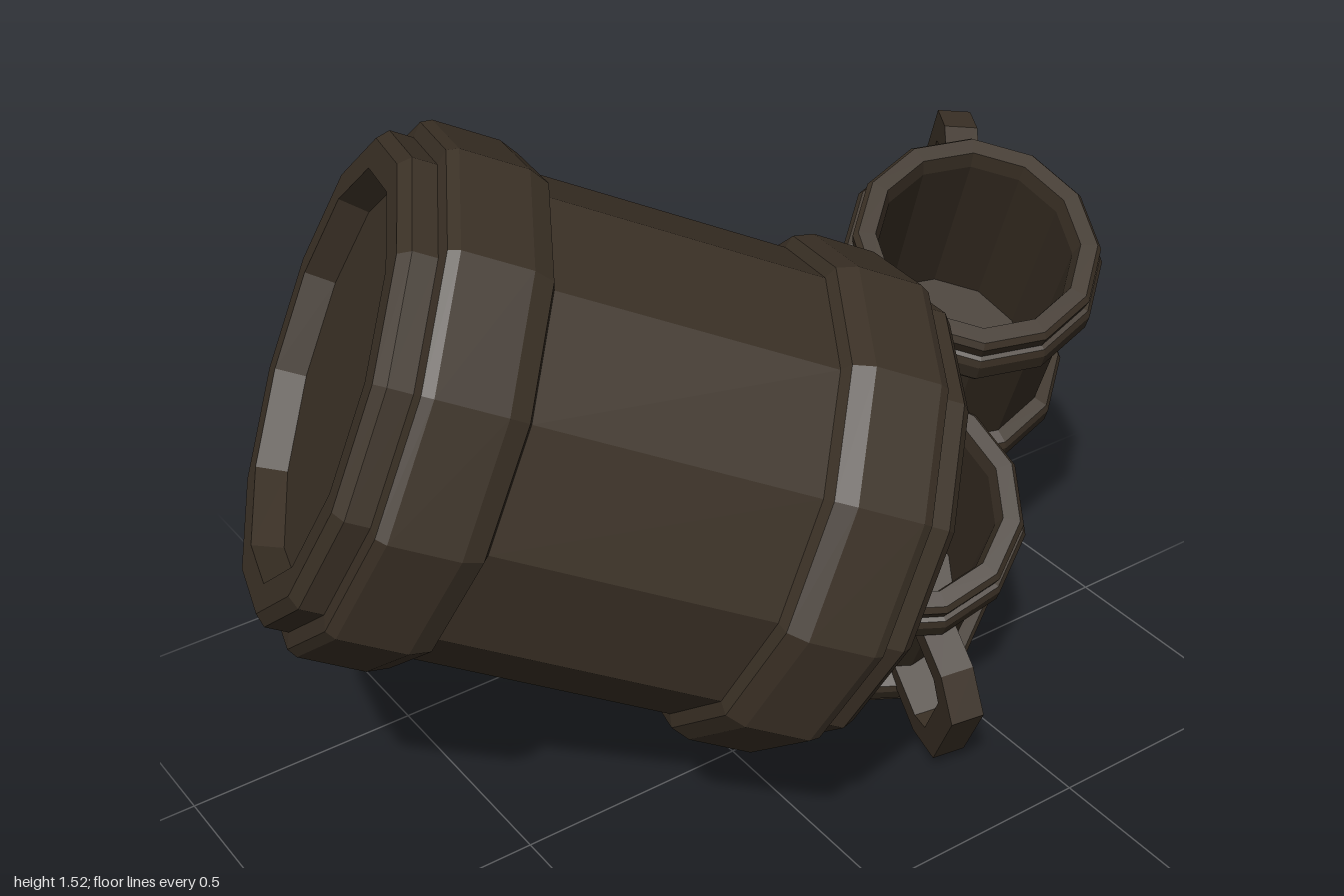
import * as THREE from 'three';

const darkWood = new THREE.MeshStandardMaterial({ color: 0x3b3126, flatShading: true });
darkWood.name = 'darkWood';

// closed solid of revolution from [radius, height] pairs, running bottom centre to top centre
function turned(name, profile, sides) {
  const pts = profile.map(([r, h]) => new THREE.Vector2(r, h));
  const mesh = new THREE.Mesh(new THREE.LatheGeometry(pts, sides), darkWood);
  mesh.name = name;
  return mesh;
}

// place a group so that its local y follows `up` and its local x points towards `out`
function orient(group, centre, up, out) {
  const y = new THREE.Vector3(...up).normalize();
  const x = new THREE.Vector3(...out);
  x.addScaledVector(y, -x.dot(y)).normalize();
  const z = new THREE.Vector3().crossVectors(x, y);
  group.quaternion.setFromRotationMatrix(new THREE.Matrix4().makeBasis(x, y, z));
  group.position.set(...centre);
}

function makeKeg() {
  const keg = new THREE.Group();
  keg.name = 'keg';
  // hoop and lip, from the body out to the end recess
  const end = [[0.455, 0.27], [0.48, 0.28], [0.495, 0.32], [0.495, 0.45], [0.485, 0.47],
    [0.455, 0.475], [0.455, 0.52], [0.435, 0.54], [0.38, 0.54]];
  const back = end.map(([r, h]) => [r, -h]).reverse();
  keg.add(turned('barrel', [[0, -0.48], [0.37, -0.48], ...back, ...end, [0.37, 0.43], [0, 0.43]], 12));

  // tap: square block with a tapered spout
  const block = new THREE.Mesh(new THREE.BoxGeometry(0.16, 0.18, 0.19), darkWood);
  block.name = 'tapBlock';
  block.position.set(-0.04, 0.5, 0);
  const spoutGeo = new THREE.CylinderGeometry(0.085, 0.115, 0.13, 4);
  spoutGeo.rotateY(Math.PI / 4);
  const spout = new THREE.Mesh(spoutGeo, darkWood);
  spout.name = 'tapSpout';
  spout.position.set(-0.04, 0.65, 0);
  keg.add(block, spout);
  orient(keg, [-0.31, 0.9, 0], [0.837, -0.397, 0.377], [0, 1, 0]);
  return keg;
}

function makeMug(name) {
  const mug = new THREE.Group();
  mug.name = name;
  const end = [[0.23, 0.155], [0.26, 0.16], [0.268, 0.175], [0.268, 0.215], [0.26, 0.23],
    [0.25, 0.232], [0.255, 0.262], [0.245, 0.275], [0.21, 0.275]];
  const base = end.map(([r, h]) => [r, -h]).reverse();
  mug.add(turned('cup', [[0, -0.24], [0.205, -0.24], ...base, ...end, [0.2, 0.24], [0.195, -0.19], [0, -0.19]], 12));

  // angular handle with an open grip
  const poly = (pts) => pts.map(([x, y]) => new THREE.Vector2(x, y));
  const shape = new THREE.Shape(poly([[0.21, -0.17], [0.35, -0.17], [0.435, -0.11],
    [0.435, 0.11], [0.35, 0.17], [0.21, 0.17]]));
  shape.holes.push(new THREE.Path(poly([[0.215, -0.115], [0.215, 0.115], [0.335, 0.115],
    [0.375, 0.08], [0.375, -0.08], [0.335, -0.115]])));
  const geo = new THREE.ExtrudeGeometry(shape, { depth: 0.07, bevelEnabled: false });
  geo.translate(0, 0, -0.035);
  const handle = new THREE.Mesh(geo, darkWood);
  handle.name = 'handle';
  mug.add(handle);
  return mug;
}

export function createModel() {
  const model = new THREE.Group();
  model.name = 'kegWithMugs';
  const upperMug = makeMug('upperMug');
  orient(upperMug, [0.683, 0.787, -0.152], [-0.192, 0.874, 0.446], [0.506, 0.483, -0.713]);
  const lowerMug = makeMug('lowerMug');
  orient(lowerMug, [0.385, 0.375, -0.005], [-0.23, 0.84, 0.49], [-0.169, -0.53, 0.831]);
  model.add(makeKeg(), upperMug, lowerMug);
  return model;
}
